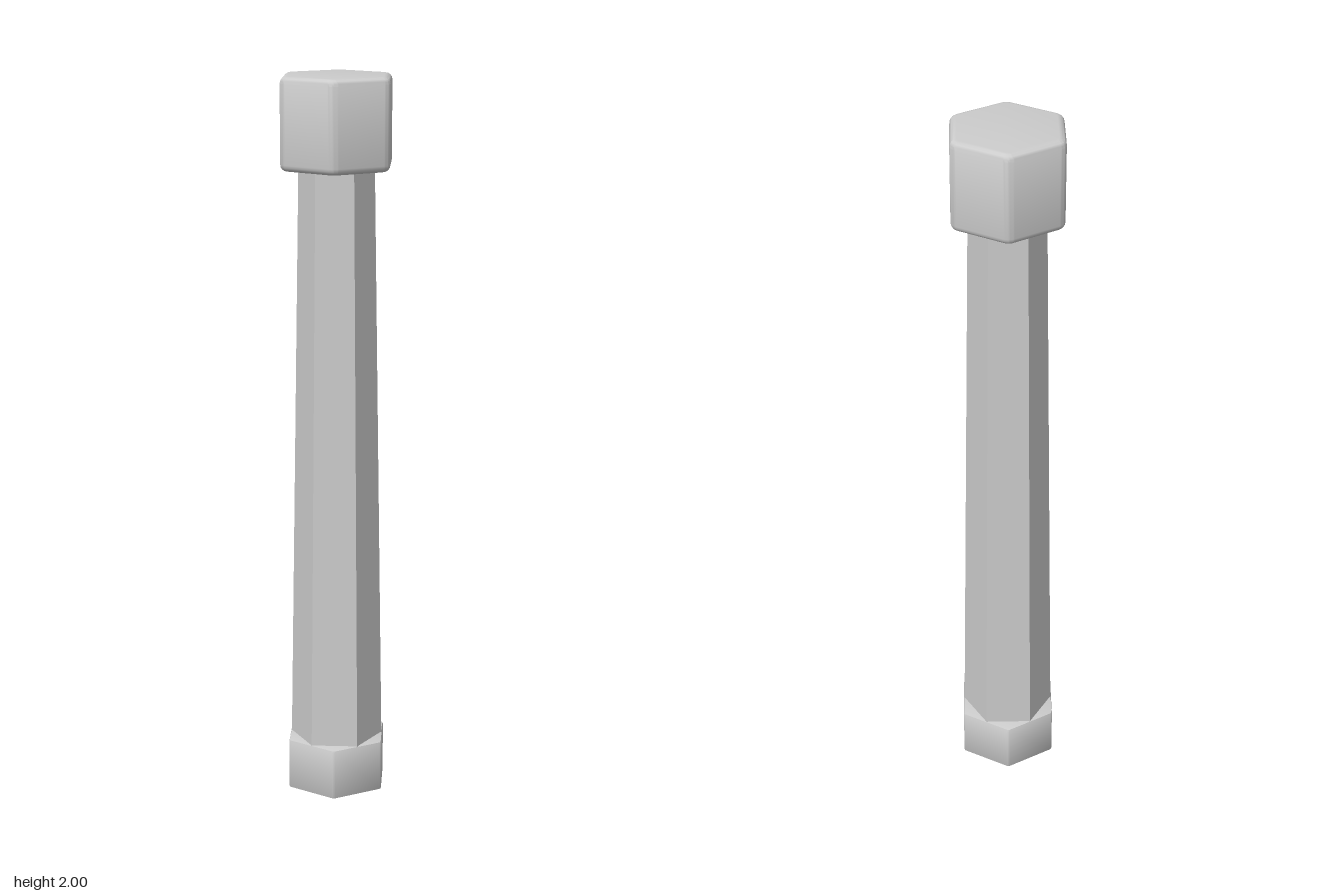
import * as THREE from 'three';
import { toCreasedNormals } from 'three/addons/utils/BufferGeometryUtils.js';

const material = new THREE.MeshStandardMaterial({ color: 0xcccccc });
const flatMaterial = new THREE.MeshStandardMaterial({ color: 0xcccccc, flatShading: true });

// Hexagonal block with corners on +-x, rounded uprights and bevelled rims
function hexBlock(name, apothem, y0, y1, cornerRadius, bevel, segments) {
  const reach = (apothem - cornerRadius) * 2 / Math.sqrt(3);
  const shape = new THREE.Shape();
  for (let i = 0; i < 6; i++) {
    const a = i * Math.PI / 3;
    shape.absarc(reach * Math.cos(a), reach * Math.sin(a), cornerRadius, a - Math.PI / 6, a + Math.PI / 6, false);
  }
  shape.closePath();
  const geometry = new THREE.ExtrudeGeometry(shape, {
    depth: y1 - y0 - 2 * bevel,
    curveSegments: segments,
    bevelThickness: bevel,
    bevelSize: bevel,
    bevelOffset: -bevel,
    bevelSegments: segments,
  });
  geometry.rotateX(-Math.PI / 2);
  geometry.translate(0, y0 + bevel, 0);
  const mesh = new THREE.Mesh(toCreasedNormals(geometry, 0.6), material);
  mesh.name = name;
  return mesh;
}

export function createModel() {
  const group = new THREE.Group();
  group.name = 'hexPost';

  // Foot and head blocks
  group.add(hexBlock('foot', 0.13, 0, 0.145, 0.008, 0.005, 2));
  group.add(hexBlock('head', 0.145, 1.753, 2, 0.03, 0.018, 4));

  // Tapered hexagonal shaft, corners on +-z
  const bottom = 0.14, top = 1.76;
  const shaft = new THREE.Mesh(new THREE.CylinderGeometry(0.102, 0.128, top - bottom, 6), flatMaterial);
  shaft.name = 'shaft';
  shaft.position.y = (bottom + top) / 2;
  group.add(shaft);

  return group;
}
